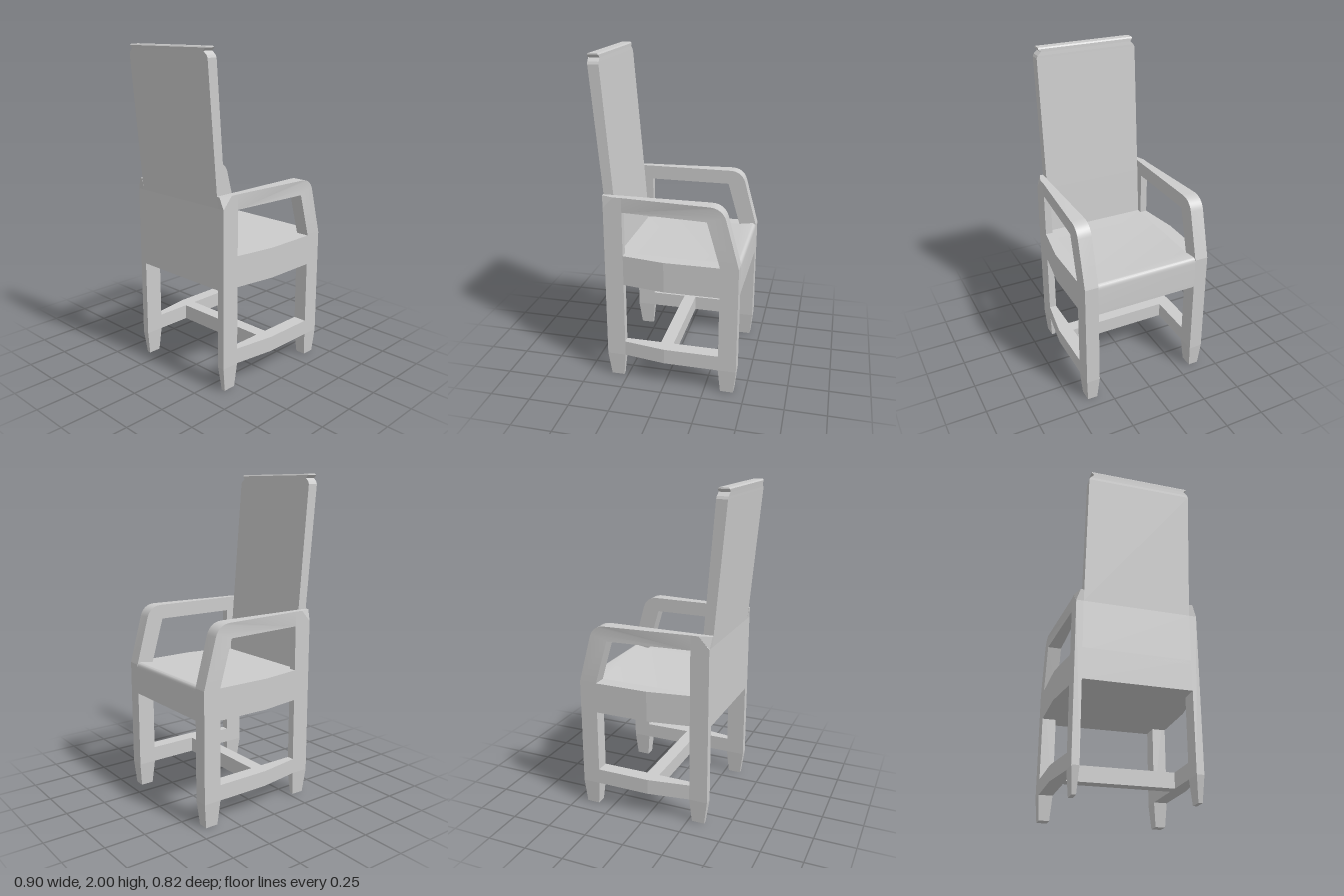
import * as THREE from 'three';
import { toCreasedNormals } from 'three/addons/utils/BufferGeometryUtils.js';

const material = new THREE.MeshStandardMaterial({ color: 0xcccccc });
const INNER = 0.325; // inner face of the side frames
const lerp = THREE.MathUtils.lerp;

// Four corners of a level rectangle, counter-clockwise from above
const rect = (x0, x1, z0, z1) => [[x0, z0], [x0, z1], [x1, z1], [x1, z0]];

// Solid through level rings, each { y, ring: [[x, z], ...] }
function loft(sections) {
  const n = sections[0].ring.length;
  const last = sections.length - 1;
  const pos = [];
  const idx = [];
  for (const { y, ring } of sections) for (const [x, z] of ring) pos.push(x, y, z);
  for (let s = 0; s < last; s++) {
    for (let i = 0; i < n; i++) {
      const a = s * n + i, b = s * n + (i + 1) % n;
      idx.push(a, b, b + n, a, b + n, a + n);
    }
  }
  for (let i = 1; i < n - 1; i++) {
    idx.push(0, i + 1, i, last * n, last * n + i, last * n + i + 1);
  }
  const g = new THREE.BufferGeometry();
  g.setAttribute('position', new THREE.Float32BufferAttribute(pos, 3));
  g.setIndex(idx);
  return flat(g);
}

// Hard-edged normals
function flat(geometry) {
  const g = geometry.toNonIndexed();
  g.computeVertexNormals();
  return g;
}

// Copy to the other side of z = 0, with the winding restored
function mirrored(geometry) {
  const g = geometry.clone().scale(1, 1, -1);
  for (const attr of Object.values(g.attributes)) {
    const size = attr.itemSize, arr = attr.array;
    for (let v = 0; v < attr.count; v += 3) {
      for (let k = 0; k < size; k++) {
        const p = (v + 1) * size + k, q = (v + 2) * size + k;
        [arr[p], arr[q]] = [arr[q], arr[p]];
      }
    }
  }
  return g;
}

// Side rail whose outer face bows out from the rear leg to mid length
function bowedRail(y0, y1) {
  const stations = [[-0.26, 0.37], [0, 0.41], [0.335, 0.41]];
  const g = new THREE.BoxGeometry(2, 1, 1, 2, 1, 1);
  const p = g.attributes.position;
  for (let i = 0; i < p.count; i++) {
    const [x, outer] = stations[Math.round(p.getX(i)) + 1];
    p.setXYZ(i, x, p.getY(i) > 0 ? y1 : y0, p.getZ(i) > 0 ? outer : INNER);
  }
  return flat(g);
}

// Arm with its sloping front post, outer face widening towards the front
function armGeometry() {
  const s = new THREE.Shape();
  s.moveTo(-0.26, 1.1);
  s.lineTo(0.255, 1.1);
  s.lineTo(0.335, 0.825);
  s.lineTo(0.445, 0.825);
  s.lineTo(0.364, 1.12);
  s.bezierCurveTo(0.35, 1.165, 0.315, 1.19, 0.265, 1.19);
  s.lineTo(-0.26, 1.19);
  const g = new THREE.ExtrudeGeometry(s, { depth: 1, bevelEnabled: false, curveSegments: 8 });
  const p = g.attributes.position;
  for (let i = 0; i < p.count; i++) {
    const t = THREE.MathUtils.clamp((p.getX(i) + 0.26) / 0.51, 0, 1);
    p.setZ(i, p.getZ(i) > 0.5 ? lerp(0.37, 0.41, t) : INNER);
  }
  return toCreasedNormals(g, 0.5);
}

export function createModel() {
  const chair = new THREE.Group();
  chair.name = 'armchair';
  const add = (name, geometry) => {
    const mesh = new THREE.Mesh(geometry, material);
    mesh.name = name;
    chair.add(mesh);
  };
  const addPair = (name, geometry) => {
    add(name + 'Left', geometry);
    add(name + 'Right', mirrored(geometry));
  };

  // Front legs with tapered feet
  addPair('frontLeg', loft([
    { y: 0, ring: rect(0.35, 0.43, 0.337, 0.4) },
    { y: 0.15, ring: rect(0.335, 0.445, INNER, 0.41) },
    { y: 0.825, ring: rect(0.335, 0.445, INNER, 0.41) },
  ]));

  // Rear posts, rising to the arms with a clipped outer rear corner
  const post = [[-0.375, INNER], [-0.375, 0.369], [-0.374, 0.37], [-0.26, 0.37], [-0.26, INNER]];
  addPair('rearPost', loft([
    { y: 0, ring: [[-0.355, 0.335], [-0.355, 0.359], [-0.354, 0.36], [-0.275, 0.36], [-0.275, 0.335]] },
    { y: 0.15, ring: post },
    { y: 1.12, ring: post },
    { y: 1.19, ring: [[-0.383, INNER], [-0.383, 0.346], [-0.31, 0.37], [-0.26, 0.37], [-0.26, INNER]] },
  ]));

  // Side rails, stretchers and arms
  addPair('seatRail', bowedRail(0.635, 0.825));
  addPair('sideStretcher', bowedRail(0.15, 0.245));
  addPair('arm', armGeometry());

  // Bar joining the two side stretchers
  const bar = new THREE.BoxGeometry(0.08, 0.095, 2 * INNER);
  bar.translate(0, 0.1975, 0);
  add('crossStretcher', bar);

  // Solid seat block with an eased front edge
  const seat = new THREE.Shape();
  seat.moveTo(-0.375, 0.635);
  seat.lineTo(0.445, 0.635);
  seat.lineTo(0.445, 0.805);
  seat.quadraticCurveTo(0.445, 0.838, 0.422, 0.838);
  seat.lineTo(0.335, 0.825);
  seat.lineTo(-0.375, 0.825);
  const seatGeometry = new THREE.ExtrudeGeometry(seat, { depth: 2 * INNER, bevelEnabled: false, curveSegments: 5 });
  seatGeometry.translate(0, 0, -INNER);
  add('seat', toCreasedNormals(seatGeometry, 0.5));

  // Tall raked back, notched below its thin cap: [y, rear x, front x, half width]
  const backSections = [
    [0.8, -0.375, -0.292, INNER],
    [1.12, -0.375, -0.315, INNER],
    [1.94, -0.447, -0.381, INNER],
    [1.955, -0.448, -0.382, 0.318],
    [1.975, -0.45, -0.384, 0.296],
    [1.992, -0.452, -0.385, 0.312],
    [2, -0.445, -0.392, 0.31],
  ];
  add('backrest', loft(backSections.map(([y, x0, x1, w]) => ({ y, ring: rect(x0, x1, -w, w) }))));

  return chair;
}
